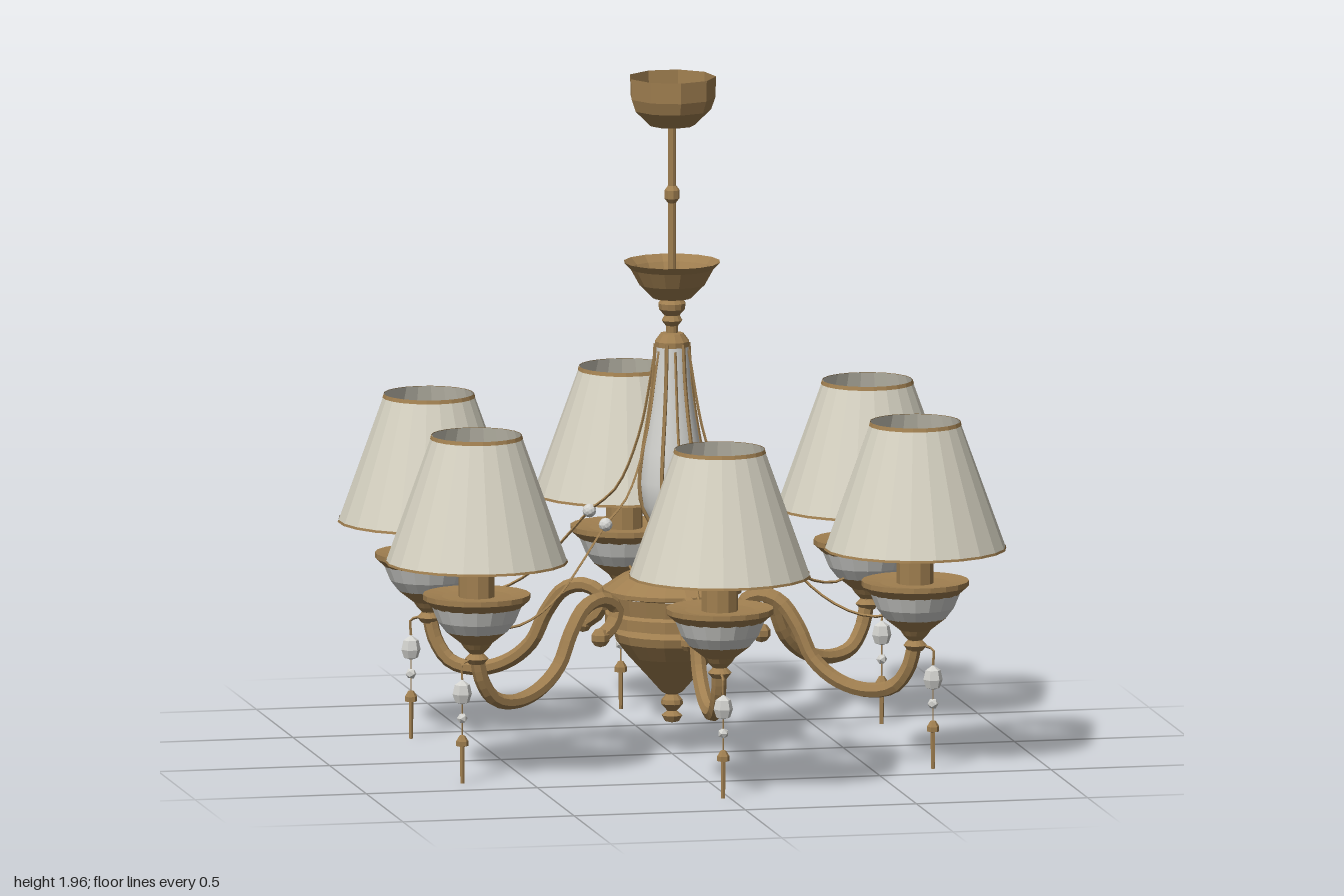
import * as THREE from 'three';

const brass = new THREE.MeshStandardMaterial({ name: 'antique brass', color: 0xa07f50 });
const fabric = new THREE.MeshStandardMaterial({ name: 'shade fabric', color: 0xd6d2c2, side: THREE.DoubleSide });
const porcelain = new THREE.MeshStandardMaterial({ name: 'porcelain', color: 0xd4d4d0 });
const openBrass = new THREE.MeshStandardMaterial({ name: 'open brass', color: 0xa07f50, side: THREE.DoubleSide });

// Faceted mesh with a name
function part(name, geometry, material, parent, flat = true) {
  let g = geometry;
  if (flat) {
    g = geometry.index ? geometry.toNonIndexed() : geometry;
    g.computeVertexNormals();
  }
  const mesh = new THREE.Mesh(g, material);
  mesh.name = name;
  parent.add(mesh);
  return mesh;
}

// Turned part; profile is [radius, height] from bottom to top
const turned = (profile, sides) =>
  new THREE.LatheGeometry(profile.map(([r, y]) => new THREE.Vector2(r, y)), sides);

// Tube through [x, y] points in the plane of an arm
function bent(points, radius, steps, sides) {
  const curve = new THREE.CatmullRomCurve3(points.map(([x, y]) => new THREE.Vector3(x, y, 0)), false, 'centripetal');
  return new THREE.TubeGeometry(curve, steps, radius, sides);
}

const REACH = 0.736;
const VASE = [[0.03, 0.635], [0.055, 0.66], [0.085, 0.72], [0.093, 0.79], [0.083, 0.88],
  [0.066, 0.98], [0.053, 1.08], [0.046, 1.19]];

function buildColumn(parent) {
  const column = new THREE.Group();
  column.name = 'column';
  parent.add(column);

  // Ceiling cup, rod and upper bowl
  part('ceilingCup', turned([[0, 1.815], [0.065, 1.82], [0.112, 1.865], [0.124, 1.9], [0.126, 1.96]], 9), openBrass, column);
  part('rod', new THREE.CylinderGeometry(0.012, 0.012, 0.52, 8).translate(0, 1.57, 0), brass, column);
  part('rodKnob', turned([[0.012, 1.595], [0.022, 1.608], [0.022, 1.632], [0.012, 1.645]], 8), brass, column);
  part('upperBowl', turned([[0, 1.315], [0.055, 1.32], [0.095, 1.36], [0.12, 1.405], [0.139, 1.425]], 16), openBrass, column);
  part('bowlNeck', turned([[0, 1.215], [0.018, 1.22], [0.018, 1.24], [0.03, 1.255], [0.022, 1.27],
    [0.038, 1.288], [0.04, 1.305], [0.03, 1.318], [0, 1.32]], 12), brass, column);

  // Vase with raised ribs
  part('vaseCap', turned([[0, 1.18], [0.05, 1.18], [0.05, 1.195], [0.033, 1.218], [0, 1.222]], 12), brass, column);
  part('vase', turned(VASE, 18), porcelain, column, false);
  for (let i = 0; i < 6; i++) {
    part('vaseRib', bent(VASE.map(([r, y]) => [r + 0.002, y]), 0.006, 14, 5), brass, column).rotation.y = i * Math.PI / 3;
  }
  part('lowerStem', turned([[0.03, 0.54], [0.024, 0.56], [0.038, 0.58], [0.022, 0.598], [0.03, 0.615],
    [0.042, 0.625], [0.036, 0.642], [0, 0.645]], 12), brass, column);

  // Hub that carries the arms
  part('hubLid', turned([[0.18, 0.465], [0.2, 0.47], [0.2, 0.482], [0.15, 0.515], [0.08, 0.545], [0, 0.56]], 20), brass, column);
  part('hubBand', turned([[0.13, 0.375], [0.192, 0.378], [0.192, 0.41], [0.178, 0.418], [0.186, 0.465]], 20), brass, column);
  part('hubCone', turned([[0, 0.165], [0.03, 0.18], [0.07, 0.225], [0.125, 0.285], [0.16, 0.33],
    [0.167, 0.355], [0.13, 0.366], [0.13, 0.378]], 18), brass, column);
  part('hubFinial', turned([[0, 0.09], [0.02, 0.095], [0.03, 0.112], [0.014, 0.125], [0.032, 0.145],
    [0.03, 0.158], [0.015, 0.175]], 10), brass, column);
}

function buildPendant(parent) {
  const pendant = new THREE.Group();
  pendant.name = 'pendant';
  pendant.position.x = 0.79;
  parent.add(pendant);
  part('pendantHook', bent([[-0.055, 0.375], [-0.02, 0.352], [0, 0.345], [0, 0.3]], 0.004, 8, 4), brass, pendant);
  part('pendantWire', new THREE.CylinderGeometry(0.002, 0.002, 0.2, 4).translate(0, 0.22, 0), brass, pendant);
  part('largeBead', turned([[0, 0.228], [0.02, 0.234], [0.028, 0.258], [0.022, 0.285], [0, 0.3]], 6), porcelain, pendant);
  part('smallBead', new THREE.IcosahedronGeometry(0.016, 0).translate(0, 0.188, 0), porcelain, pendant);
  part('dropCap', turned([[0, 0.105], [0.018, 0.108], [0.018, 0.122], [0.008, 0.138], [0, 0.14]], 6), brass, pendant);
  part('drop', new THREE.CylinderGeometry(0.007, 0.006, 0.11, 5).translate(0, 0.055, 0), brass, pendant);
}

function buildLamp(parent) {
  const lamp = new THREE.Group();
  lamp.name = 'lamp';
  lamp.position.x = REACH;
  parent.add(lamp);

  // Socket cup
  part('cupFoot', turned([[0, 0.335], [0.022, 0.34], [0.034, 0.355], [0.02, 0.37], [0.035, 0.385],
    [0.045, 0.4], [0.09, 0.435]], 14), brass, lamp);
  part('cupBowl', turned([[0.088, 0.434], [0.112, 0.465], [0.13, 0.508]], 18), porcelain, lamp);
  part('cupRim', turned([[0.128, 0.505], [0.154, 0.528], [0.154, 0.543], [0.1, 0.536], [0, 0.534]], 20), brass, lamp);

  // Candle and bulb
  part('candle', new THREE.CylinderGeometry(0.053, 0.053, 0.19, 10).translate(0, 0.63, 0), brass, lamp);
  part('bulb', new THREE.SphereGeometry(0.05, 10, 8).translate(0, 0.765, 0), porcelain, lamp);

  // Shade with thin trims
  part('shade', turned([[0.26, 0.635], [0.128, 1.002]], 22), fabric, lamp);
  part('shadeTopTrim', turned([[0.133, 0.992], [0.1295, 1.003]], 22), openBrass, lamp);
  part('shadeBottomTrim', turned([[0.2615, 0.634], [0.2595, 0.641]], 22), openBrass, lamp);
}

function buildBranch(angle, parent) {
  const branch = new THREE.Group();
  branch.name = 'branch';
  branch.rotation.y = angle;
  parent.add(branch);

  // Scrolled arm
  part('arm', bent([[0.736, 0.37], [0.715, 0.29], [0.67, 0.232], [0.59, 0.216], [0.5, 0.24], [0.425, 0.3],
    [0.38, 0.39], [0.325, 0.46], [0.26, 0.475], [0.208, 0.44], [0.225, 0.395], [0.27, 0.365]], 0.022, 34, 7), brass, branch);
  part('scrollTip', new THREE.SphereGeometry(0.028, 7, 5).translate(0.27, 0.365, 0), brass, branch);

  // Swagged wire with a bead
  part('garland', bent([[0.05, 1.17], [0.1, 0.92], [0.17, 0.76], [0.25, 0.69], [0.33, 0.6], [0.43, 0.5],
    [0.53, 0.445], [0.61, 0.43], [0.66, 0.44]], 0.004, 24, 4), brass, branch);
  part('garlandBead', new THREE.IcosahedronGeometry(0.02, 1).translate(0.25, 0.69, 0), porcelain, branch);

  buildLamp(branch);
  buildPendant(branch);
}

export function createModel() {
  const chandelier = new THREE.Group();
  chandelier.name = 'chandelier';
  buildColumn(chandelier);
  for (let i = 0; i < 6; i++) {
    buildBranch(THREE.MathUtils.degToRad(28.6 + i * 60), chandelier);
  }
  return chandelier;
}
